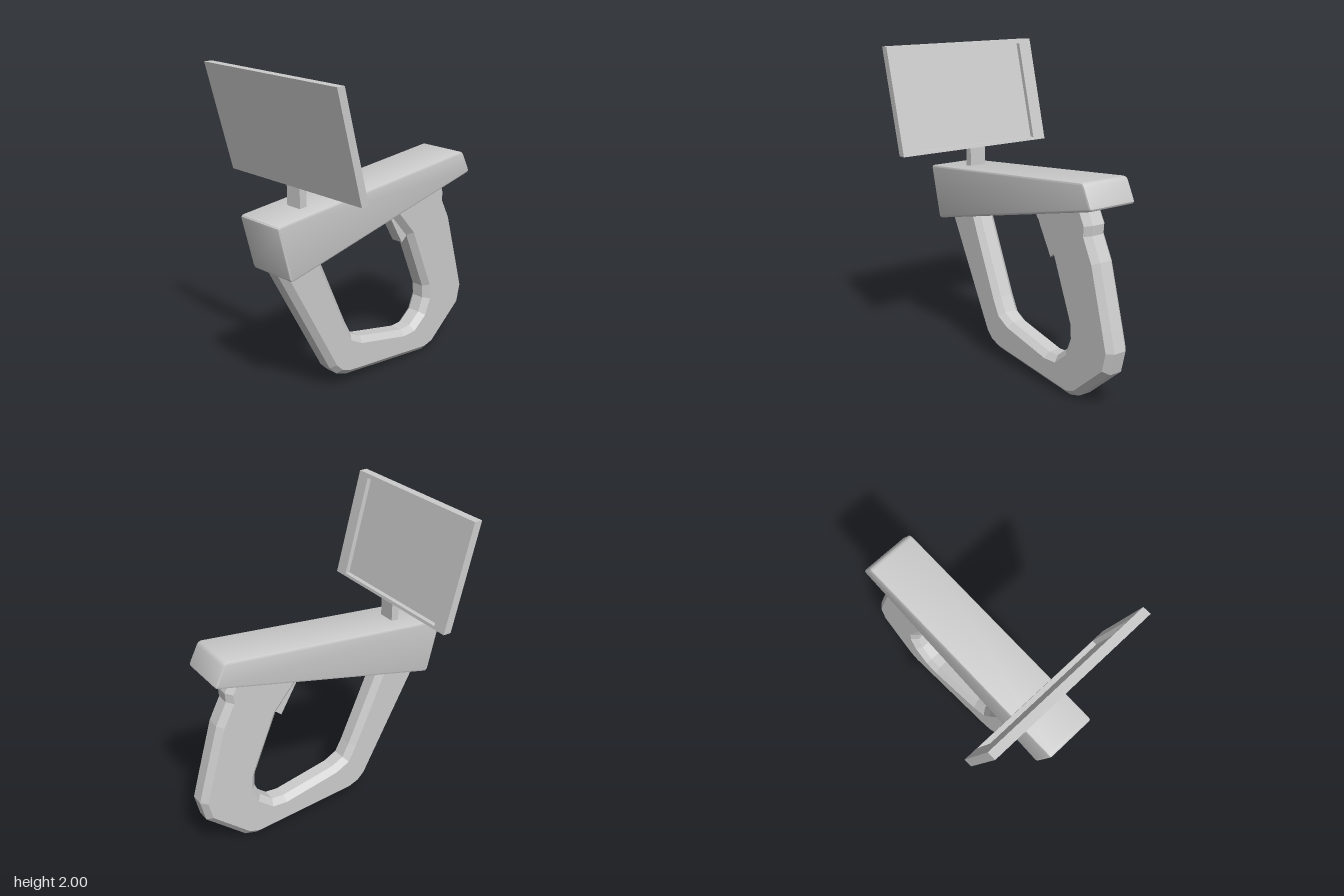
import * as THREE from 'three';
import { toCreasedNormals } from 'three/addons/utils/BufferGeometryUtils.js';

const grey = new THREE.MeshStandardMaterial({ color: 0xcccccc });

function add(group, name, geometry) {
  const mesh = new THREE.Mesh(geometry, grey);
  mesh.name = name;
  group.add(mesh);
}

const outline = (points) => new THREE.Shape(points.map(([a, b]) => new THREE.Vector2(a, b)));

// Closed outline with every corner softened by radius r
function roundedOutline(points, r) {
  const p = points.map(([a, b]) => new THREE.Vector2(a, b));
  const shape = new THREE.Shape();
  p.forEach((corner, i) => {
    const prev = p[(i + p.length - 1) % p.length];
    const next = p[(i + 1) % p.length];
    const start = prev.clone().sub(corner).setLength(r).add(corner);
    const end = next.clone().sub(corner).setLength(r).add(corner);
    if (i === 0) shape.moveTo(start.x, start.y);
    else shape.lineTo(start.x, start.y);
    shape.quadraticCurveTo(corner.x, corner.y, end.x, end.y);
  });
  shape.closePath();
  return shape;
}

// Side profile given as (z, y), extruded across x and centred, with bevelled rims
function sideExtrude(shape, width, bevel, segments) {
  const geometry = new THREE.ExtrudeGeometry(shape, {
    depth: width - 2 * bevel,
    bevelEnabled: bevel > 0,
    bevelThickness: bevel,
    bevelSize: bevel,
    bevelOffset: -bevel,
    bevelSegments: segments,
    curveSegments: 3,
  });
  geometry.translate(0, 0, -(width - 2 * bevel) / 2);
  return geometry.rotateY(-Math.PI / 2);
}

// Lean a display part forward as it rises, keeping its top and bottom level
function lean(geometry) {
  const pos = geometry.attributes.position;
  for (let i = 0; i < pos.count; i++) {
    pos.setZ(i, pos.getZ(i) + (pos.getY(i) - 1.345) * 0.255);
  }
  geometry.computeVertexNormals();
  return geometry;
}

const rectangle = (Type, halfWidth, y0, y1) => new Type([
  new THREE.Vector2(-halfWidth, y0), new THREE.Vector2(halfWidth, y0),
  new THREE.Vector2(halfWidth, y1), new THREE.Vector2(-halfWidth, y1),
]);

export function createModel() {
  const model = new THREE.Group();
  model.name = 'handheldScanner';

  // Tapered main housing
  const body = roundedOutline([[0.842, 1.202], [0.757, 0.857], [-0.757, 1.202], [-0.685, 1.348]], 0.025);
  add(model, 'body', toCreasedNormals(sideExtrude(body, 0.328, 0.012, 2), 0.6));

  // Looped handle: outer edge from front to back, then the opening back to front
  const handle = outline([
    [0.73, 0.95], [0.75, 0.865], [0.37, 0.155], [0.315, 0.1], [0.24, 0.07],
    [-0.46, 0], [-0.54, 0.022], [-0.803, 0.245], [-0.836, 0.38], [-0.803, 0.505],
    [-0.70, 0.88], [-0.63, 1.02], [-0.635, 1.08], [-0.59, 1.165], [-0.55, 1.25],
    [-0.07, 1.12], [-0.12, 1.06], [-0.3, 0.85], [-0.458, 0.458], [-0.463, 0.373],
    [-0.426, 0.283], [-0.34, 0.214], [-0.257, 0.209], [0.114, 0.288], [0.193, 0.33],
    [0.24, 0.42], [0.458, 0.92], [0.493, 1.0],
  ]);
  add(model, 'handle', sideExtrude(handle, 0.154, 0.036, 1));

  // Trigger on the inner edge of the grip
  const trigger = outline([[-0.15, 1.005], [-0.26, 0.81], [-0.32, 0.86], [-0.2, 1.02]]);
  add(model, 'trigger', sideExtrude(trigger, 0.08, 0, 1));

  // Post carrying the display
  const post = new THREE.BoxGeometry(0.11, 0.15, 0.05);
  post.translate(0, 1.272, 0.563);
  add(model, 'displayPost', post);

  // Display: solid front plate and a raised frame around the screen at the back
  const display = new THREE.Group();
  display.name = 'display';
  const plate = new THREE.ExtrudeGeometry(rectangle(THREE.Shape, 0.548, 1.345, 2), { depth: 0.022, bevelEnabled: false });
  add(display, 'displayPlate', lean(plate.translate(0, 0, 0.566)));
  const frameShape = rectangle(THREE.Shape, 0.548, 1.345, 2);
  frameShape.holes.push(rectangle(THREE.Path, 0.456, 1.363, 1.975));
  const frame = new THREE.ExtrudeGeometry(frameShape, { depth: 0.03, bevelEnabled: false });
  add(display, 'displayFrame', lean(frame.translate(0, 0, 0.536)));
  model.add(display);

  return model;
}
